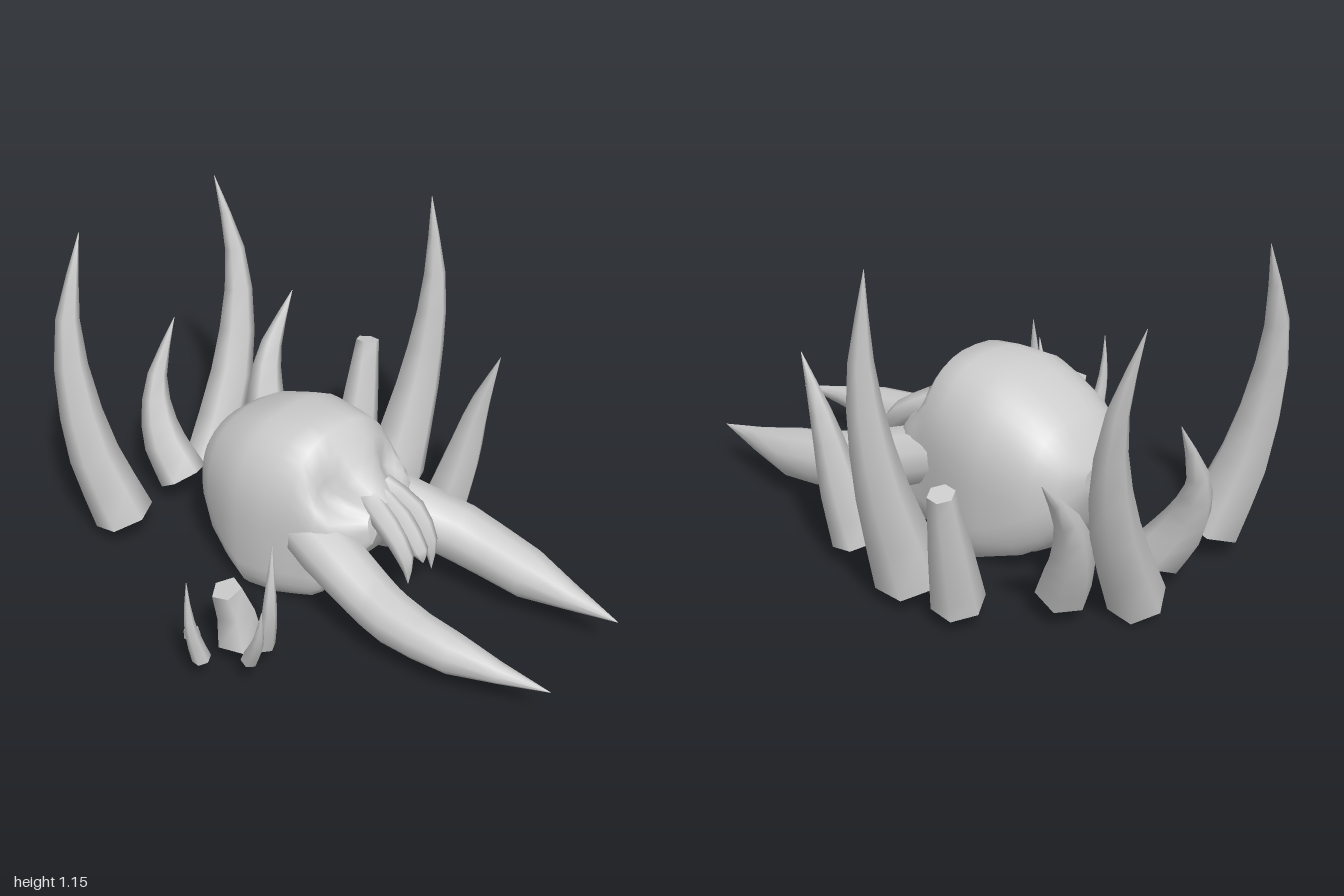
import * as THREE from 'three';

const bone = new THREE.MeshStandardMaterial({ color: 0xcccccc, side: THREE.DoubleSide });
bone.name = 'bone grey';

// Skin a list of equal-sized rings, smooth along the sides; the listed rings get sharp caps
function loft(rings, caps) {
  const n = rings[0].length, pos = [], idx = [];
  rings.forEach(r => r.forEach(p => pos.push(p.x, p.y, p.z)));
  for (let i = 0; i < rings.length - 1; i++) {
    for (let j = 0; j < n; j++) {
      const k = (j + 1) % n, a = i * n + j, b = i * n + k;
      idx.push(a, b, b + n, a, b + n, a + n);
    }
  }
  caps.forEach(i => {
    const c = new THREE.Vector3(), s = pos.length / 3;
    rings[i].forEach(p => c.addScaledVector(p, 1 / n));
    [c, ...rings[i]].forEach(p => pos.push(p.x, p.y, p.z));
    for (let j = 0; j < n; j++) {
      const a = s + 1 + j, b = s + 1 + (j + 1) % n;
      if (i) idx.push(s, a, b); else idx.push(s, b, a);
    }
  });
  const g = new THREE.BufferGeometry();
  g.setAttribute('position', new THREE.Float32BufferAttribute(pos, 3));
  g.setIndex(idx);
  g.computeVertexNormals();
  return g;
}

// Curved hollow horn, open at its root, through points [x, y, z, radius]
function horn(points, sides = 6, steps = 7) {
  const curve = new THREE.CatmullRomCurve3(points.map(p => new THREE.Vector3(p[0], p[1], p[2])));
  const rings = [];
  for (let i = 0; i <= steps; i++) {
    const t = i / steps, f = t * (points.length - 1);
    const k = Math.min(Math.floor(f), points.length - 2);
    const r = THREE.MathUtils.lerp(points[k][3], points[k + 1][3], f - k);
    const c = curve.getPoint(t), d = curve.getTangent(t);
    const u = new THREE.Vector3(0, 0, 1).cross(d).normalize();
    const v = d.clone().cross(u);
    rings.push(Array.from({ length: sides }, (_, j) => {
      const a = j / sides * Math.PI * 2;
      return c.clone().addScaledVector(u, r * Math.cos(a)).addScaledVector(v, r * Math.sin(a));
    }));
  }
  return loft(rings, [steps]);
}

// Skull sections along x: [x, bottom, top, half width, centre z]
function skull() {
  const sections = [
    [-0.54, 0.32, 0.41, 0.06, 0], [-0.51, 0.20, 0.47, 0.16, 0], [-0.45, 0.10, 0.55, 0.22, 0],
    [-0.38, 0.03, 0.60, 0.255, 0], [-0.28, 0.0, 0.64, 0.28, 0], [-0.20, -0.03, 0.67, 0.29, 0],
    [-0.08, -0.01, 0.67, 0.275, -0.005], [0.0, 0.01, 0.665, 0.25, -0.015], [0.05, 0.03, 0.61, 0.24, -0.025],
    [0.09, 0.07, 0.56, 0.23, -0.03], [0.13, 0.15, 0.52, 0.20, -0.035], [0.17, 0.23, 0.48, 0.15, -0.04],
    [0.20, 0.29, 0.44, 0.09, -0.045],
  ];
  const n = 36, soft = (v, p) => Math.sign(v) * Math.abs(v) ** p;
  return loft(sections.map(([x, lo, hi, w, zc]) => Array.from({ length: n }, (_, j) => {
    const a = j / n * Math.PI * 2, mid = (lo + hi) / 2;
    const s = soft(Math.sin(a), 0.8), c0 = Math.cos(a);
    // towards the front the lower half squares off into two jaw edges
    const jaw = THREE.MathUtils.smoothstep(x, -0.5, -0.2);
    const c = soft(c0, c0 < 0 ? 0.85 - 0.45 * jaw : 0.85);
    let y = mid + c * (hi - lo) / 2;
    // palate between the jaw edges
    if (c0 < 0) y += 0.09 * jaw * (1 - THREE.MathUtils.smoothstep(Math.abs(s), 0.55, 0.8));
    // hollow eye sockets
    const dent = x > 0 ? Math.exp(-((y - 0.48) ** 2) / 0.005 - (Math.abs(s * w) - 0.125) ** 2 / 0.004) : 0;
    return new THREE.Vector3(x - 0.075 * dent, y - 0.03 * dent, zc + s * w);
  })), [0, sections.length - 1]);
}

export function createModel() {
  const model = new THREE.Group();
  const add = (name, geometry) => {
    const m = new THREE.Mesh(geometry, bone);
    m.name = name;
    model.add(m);
  };

  add('skull', skull());

  // Tusks
  add('leftTusk', horn([[-0.10, 0.36, 0.14, 0.09], [0.10, 0.285, 0.14, 0.105], [0.30, 0.21, 0.145, 0.095],
    [0.42, 0.185, 0.15, 0.09], [0.66, 0.172, 0.125, 0.07], [0.99, 0.17, 0.04, 0.001]], 10, 10));
  add('rightTusk', horn([[-0.10, 0.36, -0.16, 0.09], [0.10, 0.29, -0.22, 0.105], [0.30, 0.23, -0.305, 0.105],
    [0.57, 0.18, -0.35, 0.088], [0.93, 0.17, -0.375, 0.001]], 10, 8));

  // Nasal fangs hanging between the tusks
  [[-0.01, 0.19, 0.35], [-0.07, 0.25, 0.36], [-0.135, 0.18, 0.34]].forEach(([z, y, x], i) =>
    add('fang' + (i + 1), horn([[0.12, 0.45, -0.05 + (z + 0.07) * 0.6, 0.045], [0.23, 0.38, z, 0.042],
      [x - 0.035, 0.29, z, 0.03], [x - 0.02, y, z, 0.001]], 6, 6)));

  // Ring of ribs curving up behind and beside the skull
  const ribs = [
    [[-0.45, 0.10, -0.53, 0.088], [-0.47, 0.3, -0.58, 0.07], [-0.49, 0.53, -0.635, 0.044]],
    [[-0.245, 0.11, -0.54, 0.118], [-0.235, 0.5, -0.655, 0.078], [-0.225, 0.84, -0.70, 0.046], [-0.25, 1.18, -0.70, 0.001]],
    [[0.035, 0.12, -0.515, 0.088], [0.075, 0.32, -0.55, 0.07], [0.115, 0.53, -0.575, 0.042], [0.185, 0.76, -0.597, 0.001]],
    [[-0.66, 0.13, -0.285, 0.09], [-0.73, 0.28, -0.33, 0.075], [-0.78, 0.45, -0.40, 0.047], [-0.81, 0.645, -0.55, 0.001]],
    [[-0.80, 0.08, -0.10, 0.097], [-0.845, 0.45, -0.28, 0.077], [-0.91, 0.80, -0.365, 0.042], [-1.0, 1.12, -0.35, 0.001]],
    [[-0.73, 0.14, 0.085, 0.09], [-0.82, 0.28, 0.10, 0.076], [-0.89, 0.46, 0.06, 0.042], [-0.90, 0.69, -0.05, 0.001]],
    [[-0.715, 0.12, 0.375, 0.108], [-0.80, 0.42, 0.435, 0.086], [-0.875, 0.83, 0.43, 0.048], [-0.905, 1.165, 0.325, 0.001]],
  ];
  ribs.forEach((p, i) => add('rib' + (i + 1), horn(p)));

  // Small bone cluster at the left side: broken stub, little claws and a chip
  add('brokenStub', horn([[0.095, 0.13, 0.53, 0.08], [0.085, 0.25, 0.54, 0.065], [0.075, 0.345, 0.565, 0.052]], 5, 2));
  const claws = [
    [[0.18, 0.14, 0.50, 0.034], [0.22, 0.28, 0.515, 0.027], [0.225, 0.4, 0.51, 0.018], [0.21, 0.545, 0.485, 0.001]],
    [[0.20, 0.14, 0.585, 0.03], [0.25, 0.23, 0.60, 0.024], [0.28, 0.31, 0.61, 0.015], [0.30, 0.41, 0.615, 0.001]],
    [[0.08, 0.13, 0.685, 0.032], [0.075, 0.23, 0.71, 0.024], [0.07, 0.32, 0.72, 0.015], [0.07, 0.455, 0.72, 0.001]],
  ];
  claws.forEach((p, i) => add('claw' + (i + 1), horn(p, 6, 5)));
  add('boneChip', horn([[0, 0.155, 0.655, 0.028], [-0.005, 0.185, 0.655, 0.024]], 6, 1));

  return model;
}
